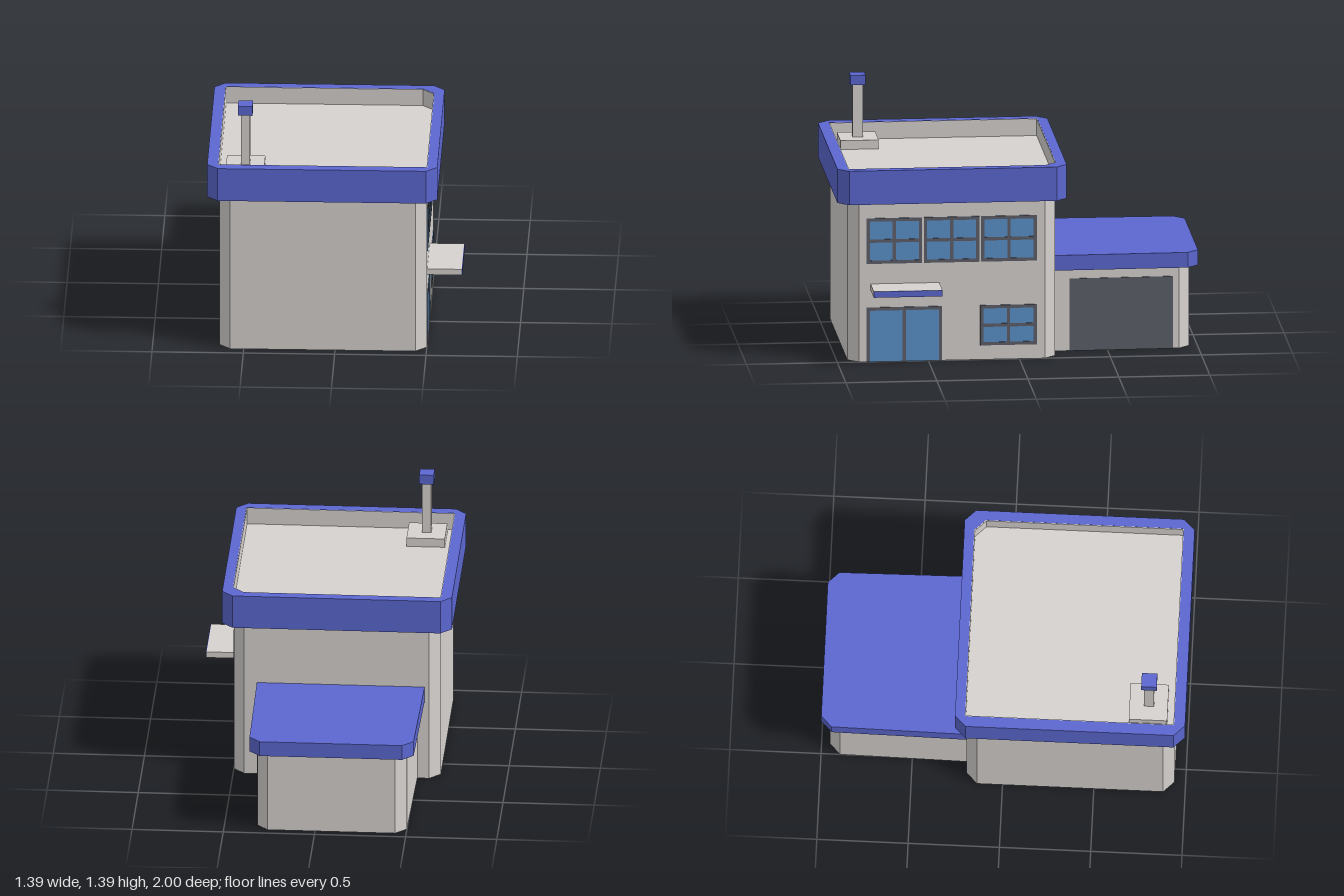
import * as THREE from 'three';

const paint = (color) => new THREE.MeshStandardMaterial({ color, flatShading: true });

export function createModel() {
  const house = new THREE.Group();
  house.name = 'house';
  const wall = paint(0xd6d2cf), blue = paint(0x5b67d0);
  const glass = paint(0x5a91c8), dark = paint(0x5c5e68);

  const add = (name, geometry, material, parent = house) => {
    const mesh = new THREE.Mesh(geometry, material);
    mesh.name = name;
    parent.add(mesh);
    return mesh;
  };

  // Box given by its limits on each axis
  const box = (name, [x0, x1], [y0, y1], [z0, z1], material, parent) => {
    const mesh = add(name, new THREE.BoxGeometry(x1 - x0, y1 - y0, z1 - z0), material, parent);
    mesh.position.set((x0 + x1) / 2, (y0 + y1) / 2, (z0 + z1) / 2);
    return mesh;
  };

  // Floor plan outlines as [x, z] points
  const plan = (points) => points.map(([x, z]) => new THREE.Vector2(x, -z));
  const chamfered = (x0, x1, z0, z1, c = 0.06) => plan([
    [x0 + c, z1], [x1 - c, z1], [x1, z1 - c], [x1, z0 + c],
    [x1 - c, z0], [x0 + c, z0], [x0, z0 + c], [x0, z1 - c],
  ]);
  // Outline for the annex: slightly narrower and chamfered at the back
  const annexPlan = (x0, x1, back, front, c = 0.06) => plan([
    [x0 - 0.01, front], [x1 + 0.01, front], [x1, back + c],
    [x1 - c, back], [x0 + c, back], [x0, back + c],
  ]);
  // Roof well: square corners, except one cut at the back
  const wellPlan = (inset) => plan([
    [-0.64 + inset, 0.94 - inset], [0.505 - inset, 0.94 - inset],
    [0.505 - inset, -0.145 + inset], [0.445 - inset, -0.205 + inset],
    [-0.64 + inset, -0.205 + inset],
  ]);

  const slab = (outline, y0, y1, hole) => {
    const shape = new THREE.Shape(outline);
    if (hole) shape.holes.push(new THREE.Path(hole));
    const geometry = new THREE.ExtrudeGeometry(shape, { depth: y1 - y0, bevelEnabled: false });
    return geometry.rotateX(-Math.PI / 2).translate(0, y0, 0);
  };

  // Main block and its parapet
  add('mainWalls', slab(chamfered(-0.635, 0.5, -0.2, 0.94), 0, 0.9), wall);
  add('parapet', slab(chamfered(-0.7, 0.56, -0.26, 1), 0.895, 1.085, wellPlan(0)), blue);
  add('parapetLining', slab(wellPlan(0), 0.98, 1.084, wellPlan(0.004)), wall);
  add('flatRoof', slab(wellPlan(0), 0.9, 0.99), wall);

  // Chimney
  const chimney = new THREE.Group();
  chimney.name = 'chimney';
  house.add(chimney);
  box('chimneyBase', [-0.6, -0.39], [0.98, 1.04], [0.69, 0.9], wall, chimney);
  box('chimneyStack', [-0.52, -0.47], [1.03, 1.34], [0.77, 0.825], wall, chimney);
  box('chimneyCap', [-0.535, -0.455], [1.335, 1.39], [0.755, 0.84], blue, chimney);

  // Garage annex
  add('garageWalls', slab(annexPlan(-0.5, 0.32, -0.955, -0.19), 0, 0.47), wall);
  add('garageRoof', slab(annexPlan(-0.54, 0.36, -1, -0.195), 0.46, 0.545), blue);
  const garageDoor = box('garageDoor', [0.315, 0.329], [0, 0.405], [-0.86, -0.29], dark);
  garageDoor.rotation.y = 0.014;

  // Glazing on the +x wall: pane, border and crossing bars
  const glazing = (name, [y0, y1], [z0, z1], isDoor) => {
    const unit = new THREE.Group();
    unit.name = name;
    house.add(unit);
    const t = 0.018, x = [0.49, 0.505], zm = (z0 + z1) / 2, ym = (y0 + y1) / 2;
    box('glass', [0.49, 0.502], [y0, y1], [z0, z1], glass, unit);
    for (const z of [z0, zm - t / 2, z1 - t]) box('upright', x, [y0, y1], [z, z + t], dark, unit);
    for (const y of isDoor ? [y1 - t] : [y0, ym - t / 2, y1 - t]) {
      box('crossbar', x, [y, y + t], [z0, z1], dark, unit);
    }
  };
  for (const z of [-0.095, 0.22, 0.535]) glazing('upperWindow', [0.55, 0.805], [z, z + 0.305]);
  glazing('lowerWindow', [0.08, 0.305], [-0.095, 0.215]);
  glazing('glassDoor', [0, 0.305], [0.425, 0.84], true);

  // Canopy over the door with a coloured front edge
  box('canopy', [0.49, 0.689], [0.403, 0.437], [0.44, 0.818], wall);
  box('canopyEdge', [0.689, 0.693], [0.403, 0.437], [0.44, 0.818], blue);

  return house;
}
